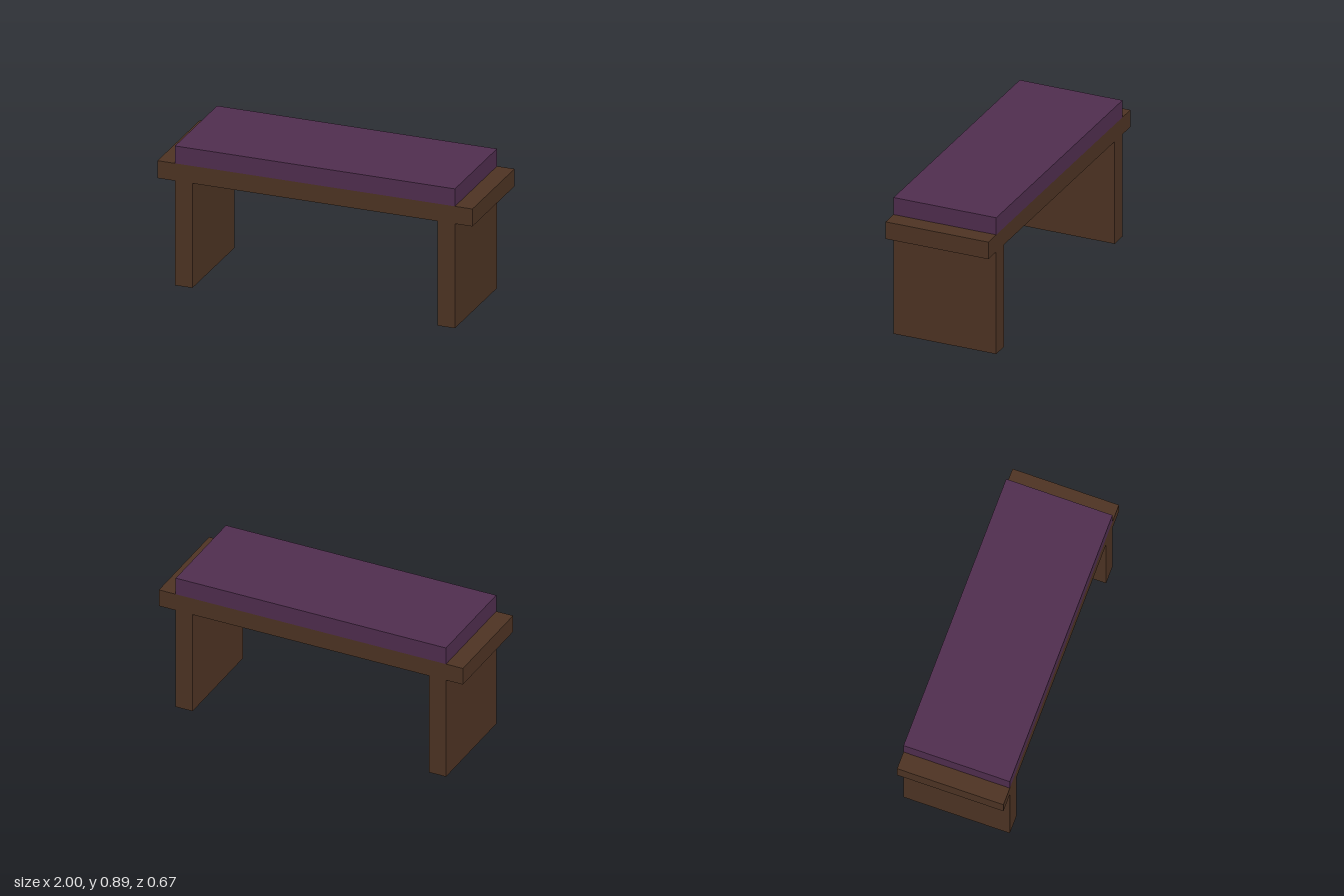
import * as THREE from 'three';

const U = 1 / 9; // plank thickness
const DEPTH = 6 * U;

export function createModel() {
  const group = new THREE.Group();
  const wood = new THREE.MeshStandardMaterial({ color: 0x4d3323, side: THREE.DoubleSide });
  wood.name = 'dark wood';
  const fabric = new THREE.MeshStandardMaterial({ color: 0x4f2d4e });
  fabric.name = 'purple fabric';

  function add(name, geometry, material, x, y) {
    const mesh = new THREE.Mesh(geometry, material);
    mesh.name = name;
    mesh.position.set(x, y, 0);
    group.add(mesh);
  }

  // Seat plank with a shorter cushion on top
  add('seatPlank', new THREE.BoxGeometry(2, U, DEPTH), wood, 0, 6.5 * U);
  add('cushion', new THREE.BoxGeometry(16 * U, U, DEPTH), fabric, 0, 7.5 * U);

  // Slab legs: hollow, open at the bottom and closed above by the seat plank
  for (const side of [1, -1]) {
    const leg = new THREE.BoxGeometry(U, 6 * U, DEPTH);
    const index = Array.from(leg.index.array);
    index.splice(12, 12); // top and bottom faces
    leg.setIndex(index);
    leg.clearGroups();
    add(side > 0 ? 'leftLeg' : 'rightLeg', leg, wood, side * 7.5 * U, 3 * U);
  }

  return group;
}
